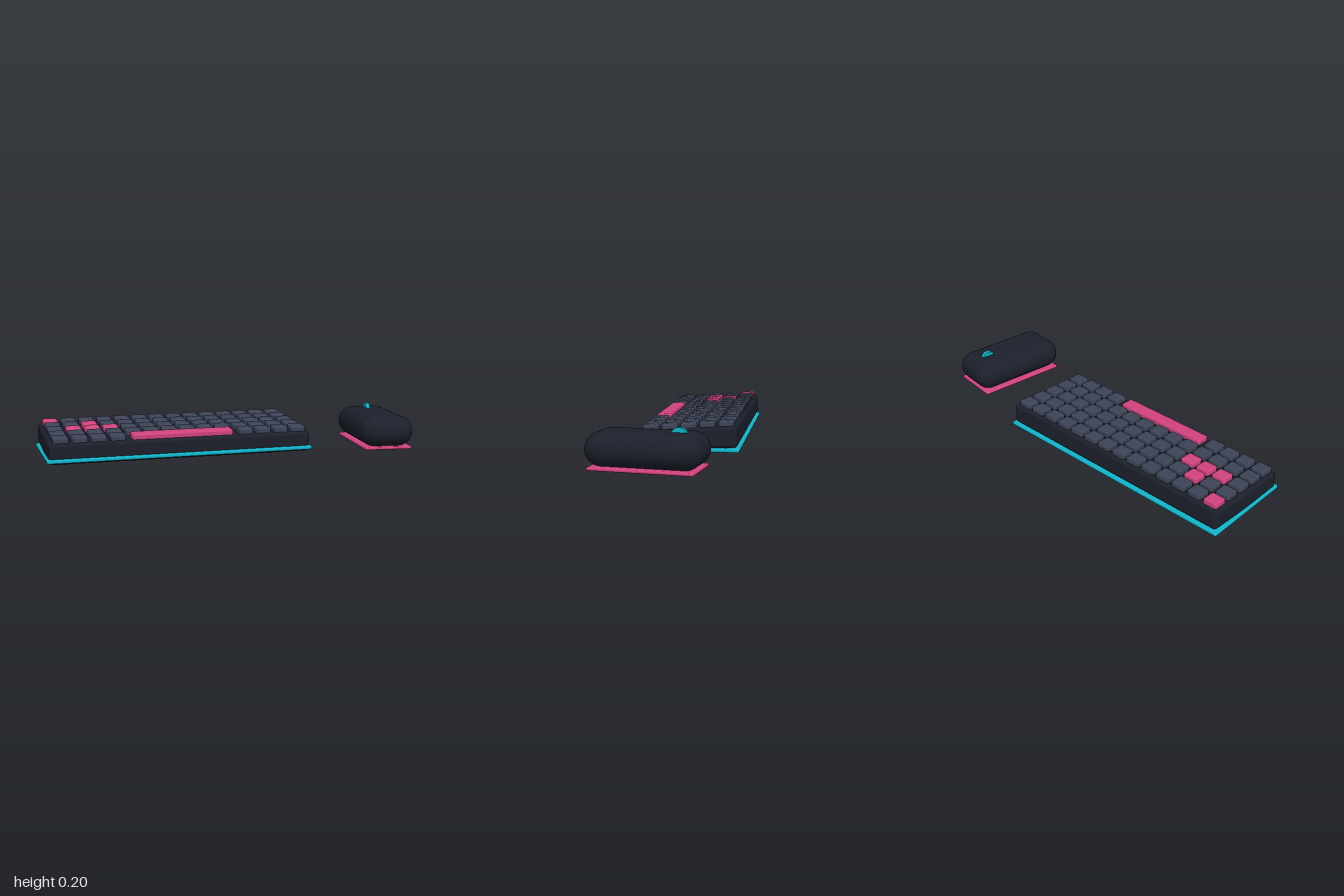
import * as THREE from 'three';
import { RoundedBoxGeometry } from 'three/addons/geometries/RoundedBoxGeometry.js';

const material = (color) => new THREE.MeshStandardMaterial({ color });
const dark = material(0x1c202b);
const grey = material(0x3d4457);
const cyan = material(0x10b4ca);
const pink = material(0xd2437f);

function rounded(name, w, h, d, radius, segments, mat) {
  const mesh = new THREE.Mesh(new RoundedBoxGeometry(w, h, d, segments, radius), mat);
  mesh.name = name;
  return mesh;
}

function createKeyboard() {
  const keyboard = new THREE.Group();
  keyboard.name = 'keyboard';

  // Flat glowing base sheet
  const base = rounded('keyboardBase', 1.393, 0.021, 0.516, 0.009, 3, cyan);
  base.position.y = 0.02;
  keyboard.add(base);

  // Case and keys, tilted up at the back
  const deck = new THREE.Group();
  deck.name = 'keyboardDeck';
  deck.position.y = 0.07;
  deck.rotation.x = 0.07;
  deck.add(rounded('keyboardCase', 1.368, 0.108, 0.492, 0.02, 4, dark));

  // Five rows of fourteen keys, with a space bar replacing six of them
  const pitch = 0.096;
  const accents = ['0,0', '1,2', '2,1', '2,2', '2,3'];
  const addKey = (name, row, col, width, mat) => {
    const key = rounded(name, width, 0.04, 0.078, 0.01, 2, mat);
    key.position.set((col - 6.5) * pitch, 0.061, (row - 2) * pitch);
    deck.add(key);
  };
  for (let row = 0; row < 5; row++) {
    for (let col = 0; col < 14; col++) {
      if (row === 4 && col > 3 && col < 10) continue;
      addKey('key', row, col, 0.078, accents.includes(`${row},${col}`) ? pink : grey);
    }
  }
  addKey('spaceBar', 4, 6.5, 0.53, pink);

  keyboard.add(deck);
  keyboard.position.set(-0.289, 0, -0.017);
  keyboard.rotation.y = 0.059;
  return keyboard;
}

function createMouse() {
  const mouse = new THREE.Group();
  mouse.name = 'mouse';

  // Pill-shaped shell
  const shell = rounded('mouseShell', 0.287, 0.16, 0.553, 0.0795, 10, dark);
  shell.position.y = 0.099;

  // Thin base sheet
  const base = rounded('mouseBase', 0.26, 0.016, 0.505, 0.0075, 3, pink);
  base.position.y = 0.014;

  // Scroll wheel
  const wheel = new THREE.Mesh(new THREE.CylinderGeometry(0.04, 0.04, 0.022, 32), cyan);
  wheel.name = 'scrollWheel';
  wheel.rotation.z = Math.PI / 2;
  wheel.position.set(0, 0.163, -0.15);

  mouse.add(shell, base, wheel);
  mouse.position.set(0.838, 0, 0.035);
  mouse.rotation.y = -0.08;
  return mouse;
}

export function createModel() {
  const model = new THREE.Group();
  model.name = 'keyboardAndMouse';
  model.add(createKeyboard(), createMouse());
  return model;
}
